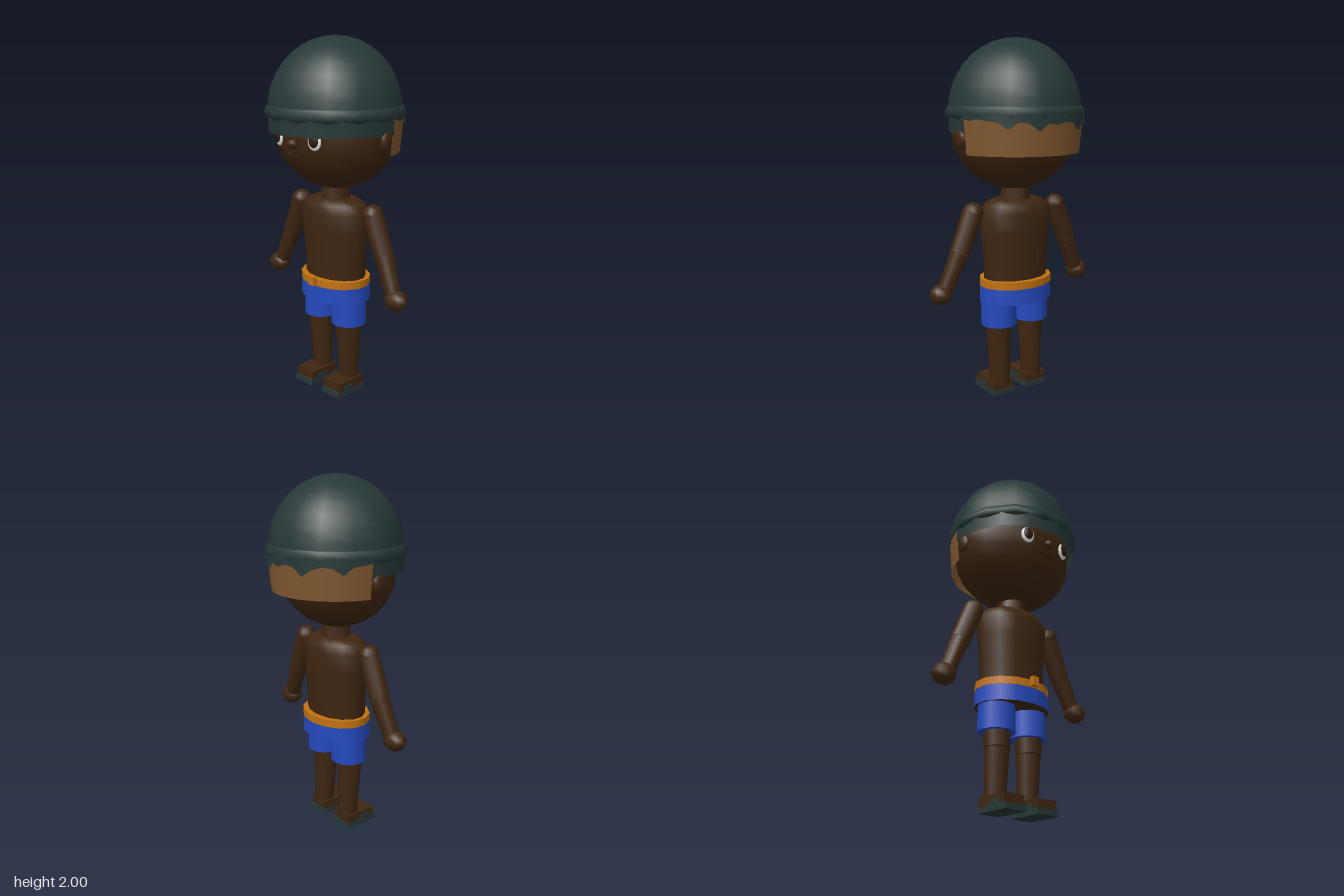
import * as THREE from 'three';

const mat = (name, color) => {
  const m = new THREE.MeshStandardMaterial({ color, side: THREE.DoubleSide });
  m.name = name;
  return m;
};

export function createModel() {
  const skin = mat('dark skin', 0x3f2611);
  const slate = mat('dark slate', 0x273737);
  const blue = mat('blue cloth', 0x2449bd);
  const orange = mat('orange belt', 0xc27210);
  const tan = mat('tan hair', 0x80582f);
  const white = mat('eye white', 0xe6e6e6);
  const iris = mat('iris brown', 0x2c1a0d);

  const model = new THREE.Group();
  model.name = 'figure';
  const add = (name, geometry, material, x = 0, y = 0, z = 0) => {
    const mesh = new THREE.Mesh(geometry, material);
    mesh.name = name;
    mesh.position.set(x, y, z);
    model.add(mesh);
    return mesh;
  };
  const ball = (name, material, c, s, w = 12, h = 8) => {
    const m = add(name, new THREE.SphereGeometry(1, w, h), material, ...c);
    m.scale.set(...s);
    return m;
  };
  // Round limb section between two points
  const limb = (name, material, a, b, ra, rb) => {
    const from = new THREE.Vector3(...a), to = new THREE.Vector3(...b);
    const dir = to.clone().sub(from);
    const m = add(name, new THREE.CylinderGeometry(rb, ra, dir.length(), 12), material);
    m.position.copy(from).add(to).multiplyScalar(0.5);
    m.quaternion.setFromUnitVectors(new THREE.Vector3(0, 1, 0), dir.normalize());
    return m;
  };
  const lathe = (points, seg) =>
    new THREE.LatheGeometry(points.map(([r, y]) => new THREE.Vector2(r, y)), seg);

  // Head, ears and neck
  ball('head', skin, [0, 1.508, 0], [0.365, 0.325, 0.31], 14, 12);
  add('neck', new THREE.CylinderGeometry(0.078, 0.085, 0.1, 12), skin, 0, 1.16, 0);
  ball('nose', skin, [0, 1.455, 0.315], [0.03, 0.027, 0.028], 10, 8);
  const smile = new THREE.QuadraticBezierCurve3(
    new THREE.Vector3(-0.052, 1.4, 0.292),
    new THREE.Vector3(0, 1.368, 0.305),
    new THREE.Vector3(0.052, 1.4, 0.292));
  add('mouth', new THREE.TubeGeometry(smile, 10, 0.006, 6), iris);

  // Cap dome: half ellipse
  const dome = [];
  for (let i = 0; i <= 9; i++) {
    const a = (i / 9) * Math.PI / 2;
    dome.push([0.368 * Math.cos(a), 1.61 + 0.39 * Math.sin(a)]);
  }
  const turn = Math.PI / 2;
  add('capDome', lathe(dome, 14), slate).rotation.y = turn;
  add('capRim', lathe([[0.355, 1.645], [0.374, 1.635], [0.386, 1.605], [0.378, 1.58], [0.36, 1.568]].reverse(), 14),
    slate).rotation.y = turn;

  // Cap band across the brow, hair shell around the back
  const edge = THREE.MathUtils.degToRad(99);
  add('browBand', new THREE.CylinderGeometry(0.372, 0.37, 0.085, 8, 1, true, -edge, 2 * edge),
    slate, 0, 1.5425, 0);
  add('backHair', new THREE.CylinderGeometry(0.37, 0.352, 0.2, 10, 1, true, edge, 2 * (Math.PI - edge)),
    tan, 0, 1.488, 0);

  // Ragged hem hanging below the rim at the back
  const drops = [0, 0.01, 0, 0.01, 0.015, 0.05, 0.015, 0.02, 0.06, 0.02, 0.03, 0.015, 0.02, 0.065, 0.03, 0.015, 0.02, 0.055, 0.015, 0.01, 0];
  const n = drops.length - 1;
  const hem = new THREE.CylinderGeometry(0.38, 0.38, 0.03, n, 1, true, edge, 2 * (Math.PI - edge));
  const hp = hem.attributes.position;
  drops.forEach((d, i) => hp.setY(n + 1 + i, hp.getY(n + 1 + i) - d));
  add('raggedHem', hem, slate, 0, 1.592, 0);

  // Torso
  add('torso', lathe([[0, 1.13], [0.14, 1.13], [0.19, 1.105], [0.222, 1.06], [0.215, 0.95], [0.2, 0.8], [0.196, 0.66]].reverse(), 14),
    skin).scale.z = 0.7;

  // Belt, buckle and hips of the shorts
  add('belt', new THREE.CylinderGeometry(0.22, 0.22, 0.042, 14), orange, 0, 0.664, 0).scale.z = 0.78;
  add('buckle', new THREE.BoxGeometry(0.04, 0.05, 0.025), orange, 0, 0.675, 0.181);
  add('shortsHips', new THREE.CylinderGeometry(0.218, 0.222, 0.09, 14), [blue, blue, skin],
    0, 0.6, 0).scale.z = 0.78;

  for (const s of [1, -1]) {
    const side = s > 0 ? 'left' : 'right';

    // Ear and eye
    ball(side + 'Ear', skin, [s * 0.352, 1.47, -0.01], [0.025, 0.055, 0.042]);
    const eye = ball(side + 'EyeWhite', white, [s * 0.135, 1.478, 0.286], [0.039, 0.048, 0.014], 16, 10);
    const pupil = ball(side + 'Iris', iris, [s * 0.136, 1.482, 0.292], [0.029, 0.038, 0.014], 16, 10);
    eye.rotation.y = pupil.rotation.y = s * 0.3;

    // Arm
    const shoulder = [s * 0.28, 1.07, 0], elbow = [s * 0.365, 0.86, 0], wrist = [s * 0.447, 0.67, 0.015];
    ball(side + 'Shoulder', skin, shoulder, [0.058, 0.058, 0.06]);
    limb(side + 'UpperArm', skin, shoulder, elbow, 0.058, 0.055);
    limb(side + 'Forearm', skin, elbow, wrist, 0.053, 0.043);
    ball(side + 'Hand', skin, [s * 0.47, 0.642, 0.02], [0.07, 0.058, 0.058], 8, 6);

    // Leg
    const x = s * 0.11;
    limb(side + 'ShortsLeg', blue, [x, 0.58, 0.005], [x, 0.413, 0.005], 0.1, 0.102);
    limb(side + 'Thigh', skin, [x, 0.45, 0.01], [x, 0.33, 0.01], 0.075, 0.07);
    limb(side + 'Shin', skin, [x, 0.328, 0.008], [x, 0.06, -0.002], 0.068, 0.056);

    // Foot, sandal sole and side straps
    add(side + 'Foot', new THREE.BoxGeometry(0.132, 0.052, 0.19), skin, x, 0.054, 0.048);
    add(side + 'Sole', new THREE.BoxGeometry(0.138, 0.03, 0.21), slate, x, 0.015, 0.052);
    for (const e of [1, -1])
      add(side + 'Strap', new THREE.BoxGeometry(0.006, 0.03, 0.07), slate, x + e * 0.067, 0.044, 0.075);
  }
  return model;
}
